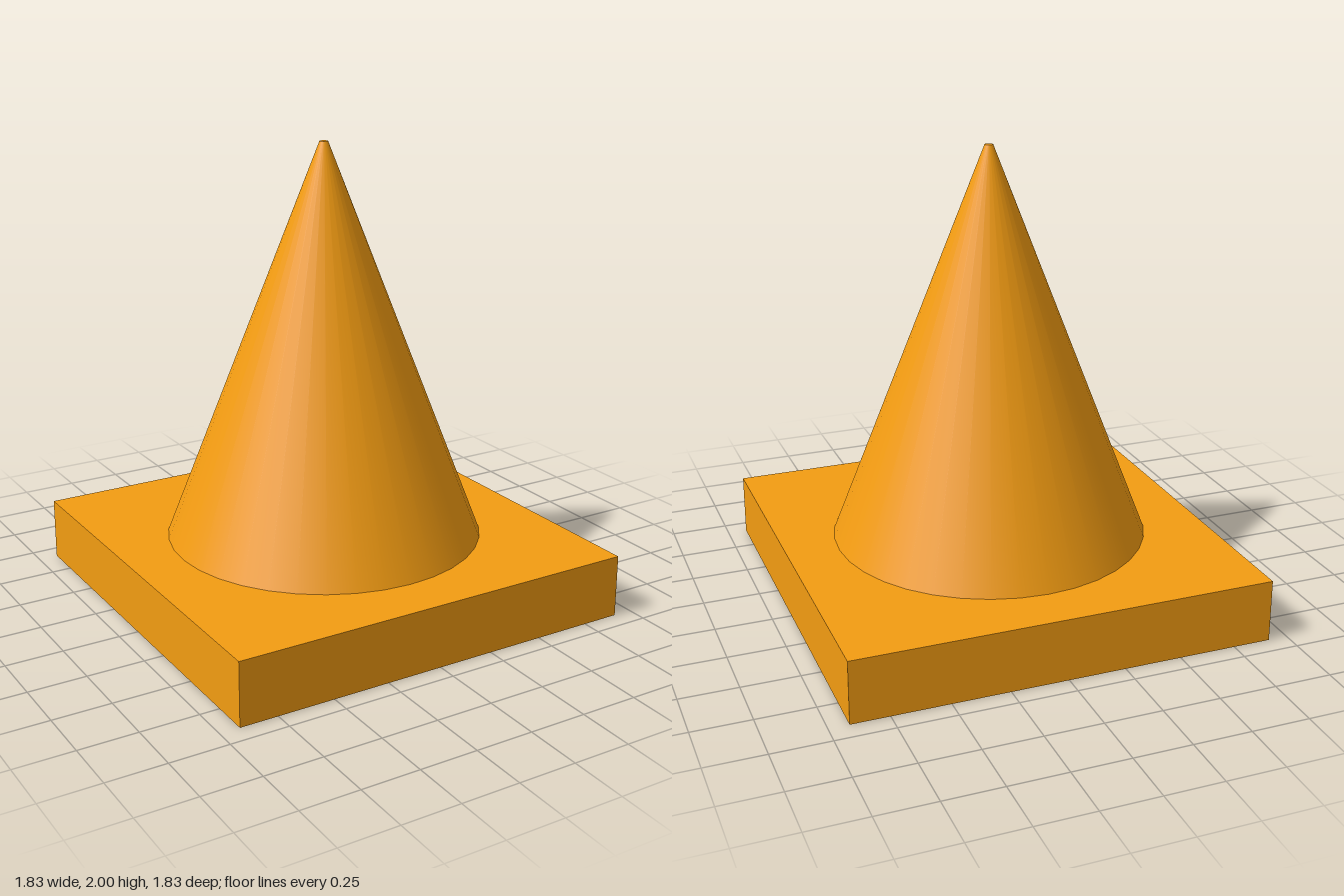
import * as THREE from 'three';

export function createModel() {
  const group = new THREE.Group();
  group.name = 'trafficCone';
  const orange = new THREE.MeshStandardMaterial({ color: 0xf39c12 });

  const baseHeight = 0.275;
  const coneHeight = 2 - baseHeight;

  // Square base plate
  const base = new THREE.Mesh(new THREE.BoxGeometry(1.83, baseHeight, 1.83), orange);
  base.name = 'base';
  base.position.y = baseHeight / 2;

  // Tapered body with a tiny flat tip
  const cone = new THREE.Mesh(new THREE.CylinderGeometry(0.018, 0.69, coneHeight, 36), orange);
  cone.name = 'cone';
  cone.position.y = baseHeight + coneHeight / 2;

  group.add(base, cone);
  return group;
}
